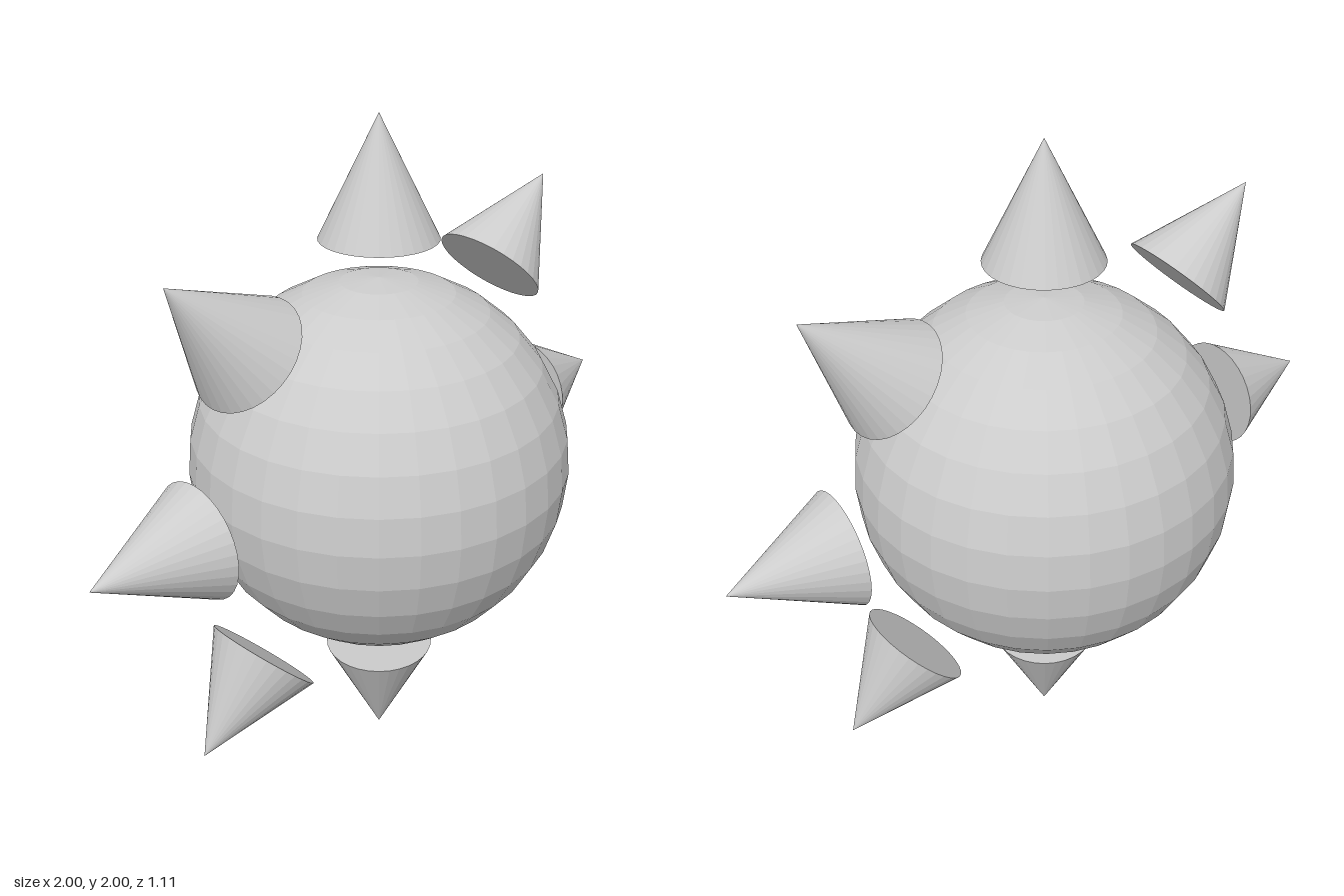
import * as THREE from 'three';

export function createModel() {
  const model = new THREE.Group();
  model.name = 'sun';
  const material = new THREE.MeshStandardMaterial({ color: 0xcccccc, flatShading: true });

  // Faceted ball in the middle
  const ball = new THREE.Mesh(new THREE.SphereGeometry(5 / 9, 32, 16), material);
  ball.name = 'ball';
  ball.position.y = 1;
  model.add(ball);

  // Ring of eight cones pointing outwards in the upright plane
  const rayCount = 8;
  const rayHeight = 1 / 3;
  const rayGeometry = new THREE.ConeGeometry(1 / 6, rayHeight, 32);
  const rays = new THREE.Group();
  rays.name = 'rays';
  rays.position.y = 1;
  for (let i = 0; i < rayCount; i++) {
    const angle = (i / rayCount) * Math.PI * 2;
    const distance = 1 - rayHeight / 2;
    const ray = new THREE.Mesh(rayGeometry, material);
    ray.name = `ray${i + 1}`;
    ray.position.set(Math.cos(angle) * distance, Math.sin(angle) * distance, 0);
    ray.rotation.z = angle - Math.PI / 2;
    rays.add(ray);
  }
  model.add(rays);

  return model;
}
